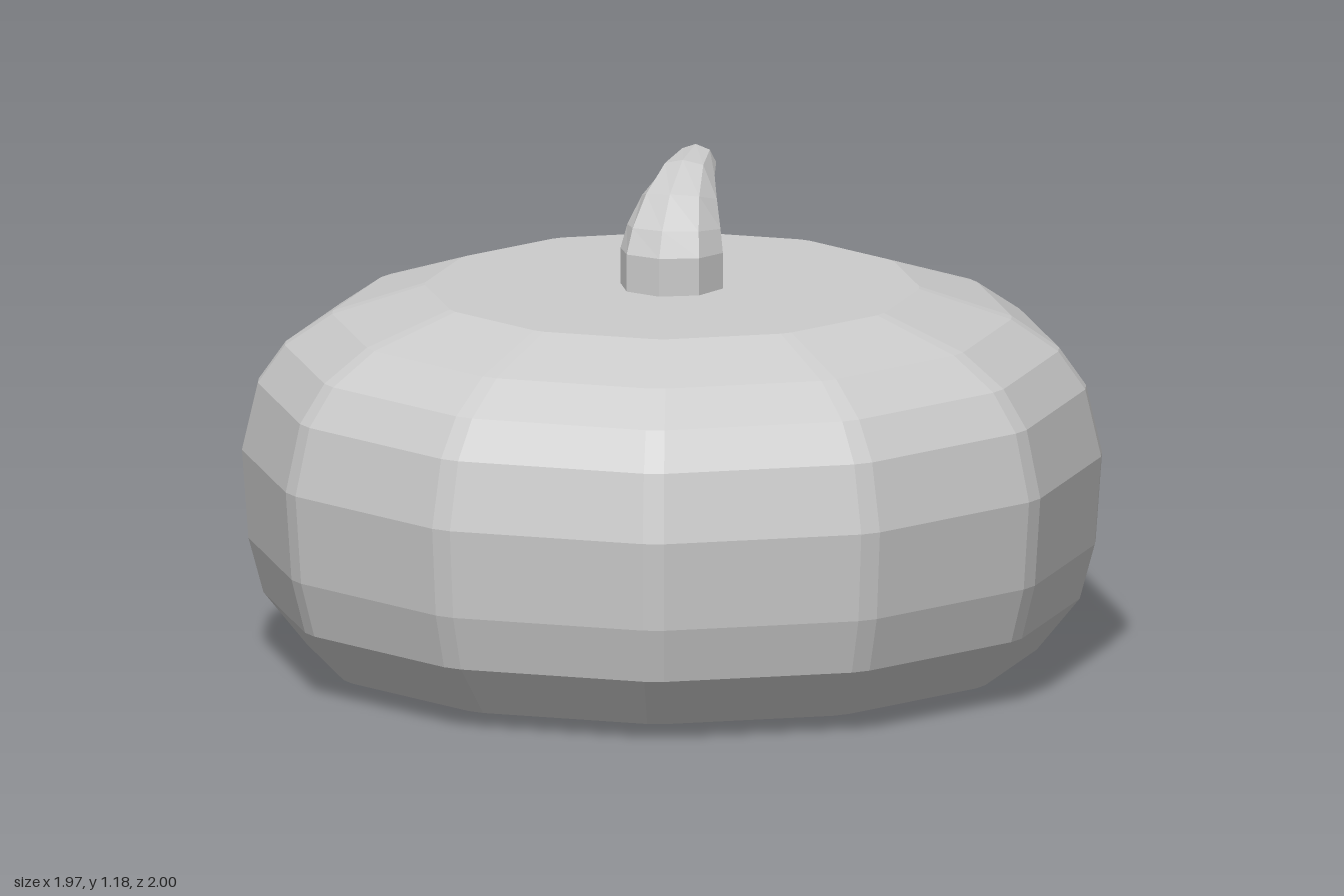
import * as THREE from 'three';

const rad = THREE.MathUtils.degToRad;
const SX = 1.003, SZ = 1.017; // slightly deeper than wide

// twelve sides with a narrow bevel on every corner
const angles = [];
for (let k = 0; k < 12; k++) angles.push(18.5 + 30 * k - 1.4, 18.5 + 30 * k + 1.4);

// radius and height, from the underside to the top
const profile = [
  [0.3, 0], [0.85, 0.037], [0.95, 0.16], [0.985, 0.29], [1.0, 0.5],
  [0.963, 0.66], [0.9, 0.75], [0.79, 0.825], [0.575, 0.895],
];

// skin over rings of equal length; closed rings can have end caps
function loft(rings, closed) {
  const pos = [];
  const tri = (...pts) => pts.forEach((p) => pos.push(p.x, p.y, p.z));
  const n = rings[0].length;
  const last = rings.length - 1;
  for (let i = 0; i < last; i++) {
    for (let j = 0; j < (closed ? n : n - 1); j++) {
      const k = (j + 1) % n;
      const a = rings[i][j], b = rings[i][k], c = rings[i + 1][k], d = rings[i + 1][j];
      tri(a, d, c);
      tri(a, c, b);
    }
  }
  if (closed) {
    [rings[0], rings[last]].forEach((ring, end) => {
      const mid = new THREE.Vector3();
      ring.forEach((p) => mid.addScaledVector(p, 1 / n));
      ring.forEach((p, j) => {
        const q = ring[(j + 1) % n];
        if (end) tri(mid, q, p);
        else tri(mid, p, q);
      });
    });
  }
  const geo = new THREE.BufferGeometry();
  geo.setAttribute('position', new THREE.Float32BufferAttribute(pos, 3));
  geo.computeVertexNormals();
  return geo;
}

const polar = (deg, r, y) =>
  new THREE.Vector3(Math.cos(rad(deg)) * r * SX, y, Math.sin(rad(deg)) * r * SZ);

// point lying just proud of the faceted skin
function onSkin(deg, y) {
  let i = 0;
  while (i < profile.length - 2 && profile[i + 1][1] < y) i++;
  const [r0, y0] = profile[i], [r1, y1] = profile[i + 1];
  const r = r0 + (r1 - r0) * (y - y0) / (y1 - y0);
  const off = (((deg - 18.5 + 15) % 30) + 30) % 30 - 15; // angle from nearest corner
  const chord = Math.abs(off) < 1.4
    ? Math.cos(rad(1.4)) / Math.cos(rad(off))
    : Math.cos(rad(13.6)) / Math.cos(rad(15 - Math.abs(off)));
  return polar(deg, r * chord + 0.004, y);
}

// thin patch following the skin between two height curves
function patch(from, to, low, high, steps) {
  const rows = [];
  for (let i = 0; i <= 6; i++) {
    const row = [];
    for (let j = 0; j <= steps; j++) {
      const t = j / steps;
      row.push(onSkin(from + (to - from) * t, THREE.MathUtils.lerp(low(t, j), high(t, j), i / 6)));
    }
    rows.push(row);
  }
  return loft(rows, false);
}

export function createModel() {
  const group = new THREE.Group();
  const grey = new THREE.MeshStandardMaterial({ color: 0xcccccc });
  grey.name = 'plainGrey';
  grey.flatShading = true;
  const add = (name, geo) => {
    const mesh = new THREE.Mesh(geo, grey);
    mesh.name = name;
    group.add(mesh);
  };

  // squat pumpkin body
  add('body', loft(profile.map(([r, y]) => angles.map((a) => polar(a, r, y))), true));

  // stem sections: front z, y, back z, y, half width
  const sections = [
    [0.125, 0.88, -0.12, 0.88, 0.123],
    [0.125, 0.985, -0.12, 0.975, 0.123],
    [0.095, 1.045, -0.132, 1.02, 0.112],
    [0.02, 1.117, -0.165, 1.065, 0.09],
    [-0.105, 1.173, -0.2, 1.085, 0.065],
    [-0.232, 1.184, -0.25, 1.098, 0.047],
  ];
  const stemRings = sections.map(([fz, fy, bz, by, w]) => {
    const ring = [];
    for (let k = 0; k < 8; k++) {
      const c = Math.cos(k * Math.PI / 4), s = Math.sin(k * Math.PI / 4);
      ring.push(new THREE.Vector3(c * w, (fy + by) / 2 + s * (fy - by) / 2,
        (fz + bz) / 2 + s * (fz - bz) / 2));
    }
    return ring;
  });
  add('stem', loft(stemRings, true));

  // faint face on the back: zigzag mouth and two wedge eyes
  add('mouth', patch(236, 304, () => 0.172, (t, j) => (j % 2 ? 0.215 : 0.185), 22));
  add('leftEye', patch(290, 307, () => 0.51, (t) => 0.51 + 0.13 * t, 8));
  add('rightEye', patch(233, 250, () => 0.51, (t) => 0.51 + 0.13 * (1 - t), 8));

  return group;
}
